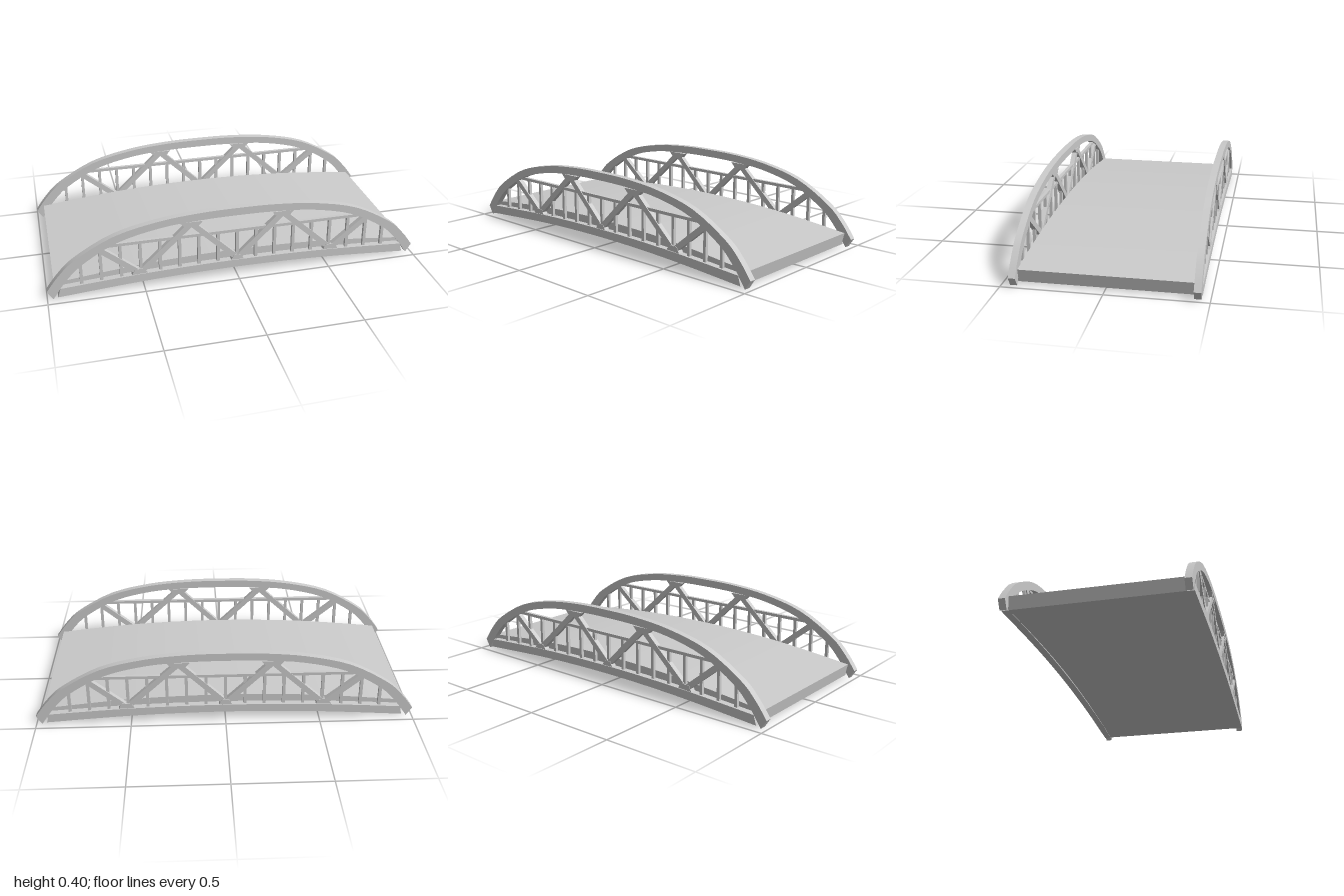
import * as THREE from 'three';
import { toCreasedNormals } from 'three/addons/utils/BufferGeometryUtils.js';

const material = new THREE.MeshStandardMaterial({ color: 0xcccccc });

// Smooth left-to-right curve from the points of its right half (centre first)
function mirroredCurve(half, steps) {
  const right = half.map(([x, y]) => new THREE.Vector2(x, y));
  const left = half.slice(1).reverse().map(([x, y]) => new THREE.Vector2(-x, y));
  return new THREE.SplineCurve([...left, ...right]).getPoints(steps);
}

// Solid band between an upper and a lower curve, centred on z
function band(name, upper, lower, depth, z = 0) {
  const shape = new THREE.Shape([...lower, ...upper.slice().reverse()]);
  const geo = new THREE.ExtrudeGeometry(shape, { depth, bevelEnabled: false });
  geo.translate(0, 0, -depth / 2);
  const mesh = new THREE.Mesh(toCreasedNormals(geo, 0.5), material);
  mesh.name = name;
  mesh.position.z = z;
  return mesh;
}

// Straight bar between two points of the truss plane
function bar(name, [x1, y1], [x2, y2], width, depth) {
  const length = Math.hypot(x2 - x1, y2 - y1);
  const mesh = new THREE.Mesh(new THREE.BoxGeometry(length, width, depth), material);
  mesh.name = name;
  mesh.position.set((x1 + x2) / 2, (y1 + y2) / 2, 0);
  mesh.rotation.z = Math.atan2(y2 - y1, x2 - x1);
  return mesh;
}

// Flat joint plate from its corners
function plate(name, corners, depth) {
  const points = corners.map(([x, y]) => new THREE.Vector2(x, y));
  const geo = new THREE.ExtrudeGeometry(new THREE.Shape(points), { depth, bevelEnabled: false });
  geo.translate(0, 0, -depth / 2);
  const mesh = new THREE.Mesh(geo, material);
  mesh.name = name;
  return mesh;
}

const archTop = [[0, 0.407], [0.2, 0.403], [0.42, 0.381], [0.65, 0.325], [0.85, 0.215], [0.94, 0.13], [1, 0.05]];
const archBottom = [[0, 0.365], [0.2, 0.361], [0.41, 0.343], [0.63, 0.288], [0.81, 0.187], [0.9, 0.1], [0.97, 0.003]];
const chordHeight = (x) => 0.098 - 0.041 * x * x;

function createTruss() {
  const truss = new THREE.Group();
  truss.name = 'sideTruss';

  // Main arch and curved bottom chord
  const inner = mirroredCurve(archBottom, 48);
  truss.add(band('arch', mirroredCurve(archTop, 48), inner, 0.035));
  truss.add(band('bottomChord',
    mirroredCurve([[0, 0.098], [0.47, 0.089], [0.93, 0.062]], 24),
    mirroredCurve([[0, 0.055], [0.47, 0.044], [0.945, 0.013]], 24), 0.039));

  // Handrail
  truss.add(bar('handrail', [-0.7, 0.27], [0.7, 0.27], 0.016, 0.018));

  // Evenly spaced balusters, stopped by the handrail or the arch
  for (let i = -8; i <= 8; i++) {
    const x = i * 0.1025;
    const top = Math.abs(i) === 8 ? 0.19 : 0.268;
    truss.add(bar('baluster', [x, chordHeight(x) - 0.015], [x, top], 0.016, 0.016));
  }

  for (const s of [-1, 1]) {
    // Zigzag diagonals
    const nodes = [[0, 0.105], [s * 0.245, 0.345], [s * 0.52, 0.09], [s * 0.72, 0.255]];
    for (let i = 0; i < 3; i++) truss.add(bar('diagonal', nodes[i], nodes[i + 1], 0.03, 0.026));

    // Joint plates under the arch and on the chord
    const upper = [[-0.06, 0.355], [-0.035, 0.328], [0.035, 0.328], [0.06, 0.355]];
    truss.add(plate('upperJoint', upper.map(([x, y]) => [s * 0.245 + x, y]), 0.03));
    const lower = [[-0.045, 0.08], [0.045, 0.08], [0.025, 0.115], [-0.025, 0.115]];
    truss.add(plate('lowerJoint', lower.map(([x, y]) => [s * 0.52 + x, y]), 0.03));
  }
  truss.add(plate('centreJoint', [[-0.04, 0.085], [0.04, 0.085], [0.02, 0.125], [-0.02, 0.125]], 0.03));
  return truss;
}

export function createModel() {
  const bridge = new THREE.Group();
  bridge.name = 'archBridge';

  // Cambered road deck
  bridge.add(band('deck',
    mirroredCurve([[0, 0.14], [0.48, 0.125], [0.96, 0.08]], 24),
    mirroredCurve([[0, 0.062], [0.47, 0.049], [0.945, 0.014]], 24), 0.85));

  // One truss on each side
  for (const s of [-1, 1]) {
    const truss = createTruss();
    truss.position.z = s * 0.4405;
    bridge.add(truss);
  }
  return bridge;
}
